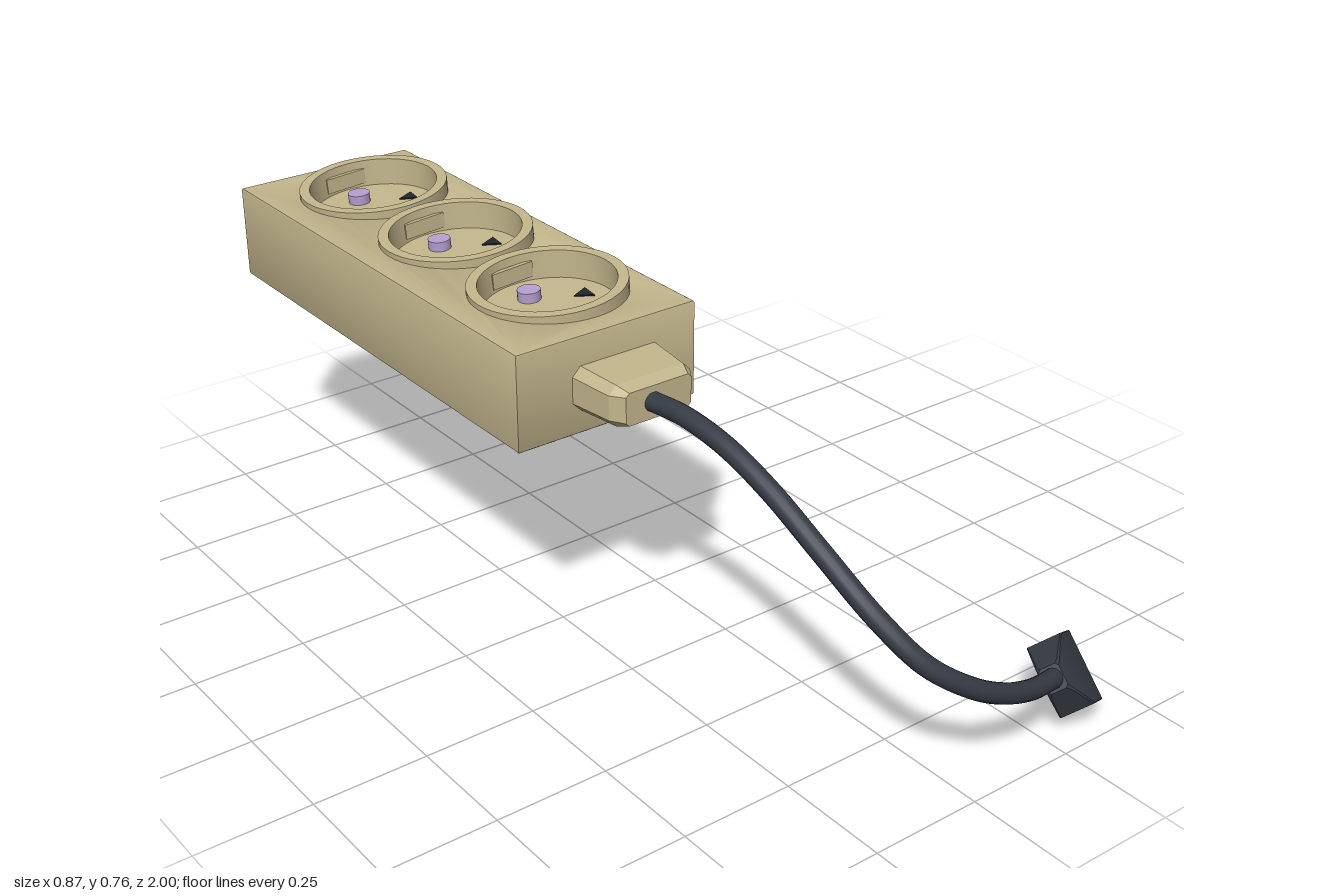
import * as THREE from 'three';
import { toCreasedNormals } from 'three/addons/utils/BufferGeometryUtils.js';

const mat = (color) => new THREE.MeshStandardMaterial({ color });
const tan = mat(0xc4b78d), dark = mat(0x353b45), black = mat(0x22252c), violet = mat(0xb59fd0);

const SOCKET_X = -0.208;
const SOCKETS_Z = [-0.09, -0.44, -0.79];

function add(parent, name, geometry, material, x = 0, y = 0, z = 0) {
  const mesh = new THREE.Mesh(geometry, material);
  mesh.name = name;
  mesh.position.set(x, y, z);
  parent.add(mesh);
  return mesh;
}

function lathe(points, segments) {
  const g = new THREE.LatheGeometry(points.map(([x, y]) => new THREE.Vector2(x, y)), segments);
  return toCreasedNormals(g, 0.6);
}

// Plan outline (x, -z) with a round hole under each socket
function planShape(x0, x1, z0, z1, holeRadius, holeZ = 0) {
  const s = new THREE.Shape();
  s.moveTo(x0, -z1).lineTo(x1, -z1).lineTo(x1, -z0).lineTo(x0, -z0).closePath();
  for (const z of SOCKETS_Z) {
    const hole = new THREE.Path();
    hole.absarc(SOCKET_X, -(z + holeZ), holeRadius, 0, Math.PI * 2, true);
    s.holes.push(hole);
  }
  return s;
}

// Solid through chamfered rectangular sections [z, halfWidth, halfHeight, chamfer]
function loft(sections) {
  const pos = [], index = [], n = 8;
  for (const [z, w, h, c] of sections) {
    const ring = [[w, -h + c], [w, h - c], [w - c, h], [-w + c, h],
      [-w, h - c], [-w, -h + c], [-w + c, -h], [w - c, -h]];
    for (const [x, y] of ring) pos.push(x, y, z);
  }
  for (let r = 0; r < sections.length - 1; r++) {
    for (let i = 0; i < n; i++) {
      const a = r * n + i, b = r * n + (i + 1) % n;
      index.push(a, b, b + n, a, b + n, a + n);
    }
  }
  const last = (sections.length - 1) * n;
  for (let i = 1; i < n - 1; i++) {
    index.push(0, i + 1, i, last, last + i, last + i + 1);
  }
  const g = new THREE.BufferGeometry();
  g.setAttribute('position', new THREE.Float32BufferAttribute(pos, 3));
  g.setIndex(index);
  return toCreasedNormals(g, 0.2);
}

// Slightly tilted socket: raised rim, shallow bowl, contacts and earth pin
function makeSocket(z) {
  const socket = new THREE.Group();
  socket.name = 'socket';
  socket.position.set(SOCKET_X, 0.75, z);
  socket.rotation.z = 0.065;

  const profile = [[0, -0.075], [0.155, -0.075], [0.168, -0.06], [0.168, 0],
    [0.145, 0], [0.142, -0.062], [0, -0.062]];
  add(socket, 'socketBowl', lathe(profile, 48), tan);

  const pin = new THREE.CylinderGeometry(0.025, 0.025, 0.253, 20);
  add(socket, 'earthPin', pin, violet, -0.008, -0.1665, -0.062);

  const slot = add(socket, 'flatContact', new THREE.BoxGeometry(0.055, 0.004, 0.012), black, -0.078, -0.061, 0);
  slot.rotation.y = -0.12;
  const wedge = add(socket, 'wedgeContact', new THREE.CylinderGeometry(0.025, 0.025, 0.004, 3), black, 0.09, -0.061, -0.002);
  wedge.rotation.y = 0.4;
  for (const side of [-1, 1]) {
    add(socket, 'wallTab', new THREE.BoxGeometry(0.1, 0.035, 0.01), tan, 0, -0.036, side * 0.136);
  }
  return socket;
}

// Tapered plug, built along +z with its two prongs spread along x
function makePlug() {
  const plug = new THREE.Group();
  plug.name = 'plug';
  const body = loft([[-0.158, 0.026, 0.022, 0.006], [-0.148, 0.033, 0.026, 0.004],
    [-0.085, 0.076, 0.038, 0.002], [0, 0.076, 0.038, 0.002]]);
  add(plug, 'plugBody', body, dark);
  const prong = lathe([[0, -0.02], [0.016, -0.02], [0.016, 0.054], [0.012, 0.06], [0, 0.06]], 16);
  prong.rotateX(Math.PI / 2);
  for (const side of [-1, 1]) add(plug, 'prong', prong, dark, side * 0.042);

  const forward = new THREE.Vector3(0.8, -0.45, -0.42).normalize();
  const across = new THREE.Vector3(0.04, 0.7, -0.71);
  across.addScaledVector(forward, -across.dot(forward)).normalize();
  const up = new THREE.Vector3().crossVectors(forward, across);
  plug.quaternion.setFromRotationMatrix(new THREE.Matrix4().makeBasis(across, up, forward));
  plug.position.set(0.38, 0.071, 0.879);
  return plug;
}

export function createModel() {
  const model = new THREE.Group();
  model.name = 'powerStrip';

  // Housing with a fine bevel
  const b = 0.005;
  const housing = new THREE.ExtrudeGeometry(planShape(-0.435 + b, 0.001 - b, -1 + b, 0.131 - b, 0.16),
    { depth: 0.214 - 2 * b, bevelEnabled: true, bevelSize: b, bevelThickness: b, bevelSegments: 2, curveSegments: 24 });
  housing.rotateX(-Math.PI / 2);
  add(model, 'housing', toCreasedNormals(housing, 0.6), tan, 0, 0.513 + b, 0);

  // Dark underside with an octagonal opening around each pin
  const base = new THREE.ExtrudeGeometry(planShape(-0.43, -0.004, -0.995, 0.126, 0.075, -0.06),
    { depth: 0.006, bevelEnabled: false, curveSegments: 8 });
  base.rotateX(-Math.PI / 2);
  add(model, 'basePlate', base, black, 0, 0.512, 0);

  for (const z of SOCKETS_Z) model.add(makeSocket(z));

  // Cable entry block
  const entry = loft([[0, 0.112, 0.049, 0.02], [0.108, 0.1, 0.045, 0.018], [0.138, 0.08, 0.036, 0.008]]);
  add(model, 'cableEntry', entry, tan, -0.192, 0.613, 0.128);

  // Cable
  const path = [[-0.207, 0.613, 0.25], [-0.2, 0.617, 0.36], [-0.193, 0.598, 0.48], [-0.182, 0.549, 0.6],
    [-0.166, 0.476, 0.72], [-0.135, 0.38, 0.85], [-0.085, 0.303, 0.93], [0, 0.24, 0.97],
    [0.08, 0.198, 0.976], [0.17, 0.163, 0.965], [0.265, 0.138, 0.94]];
  const curve = new THREE.CatmullRomCurve3(path.map((p) => new THREE.Vector3(...p)));
  add(model, 'cable', new THREE.TubeGeometry(curve, 80, 0.021, 16), dark);

  model.add(makePlug());
  return model;
}
